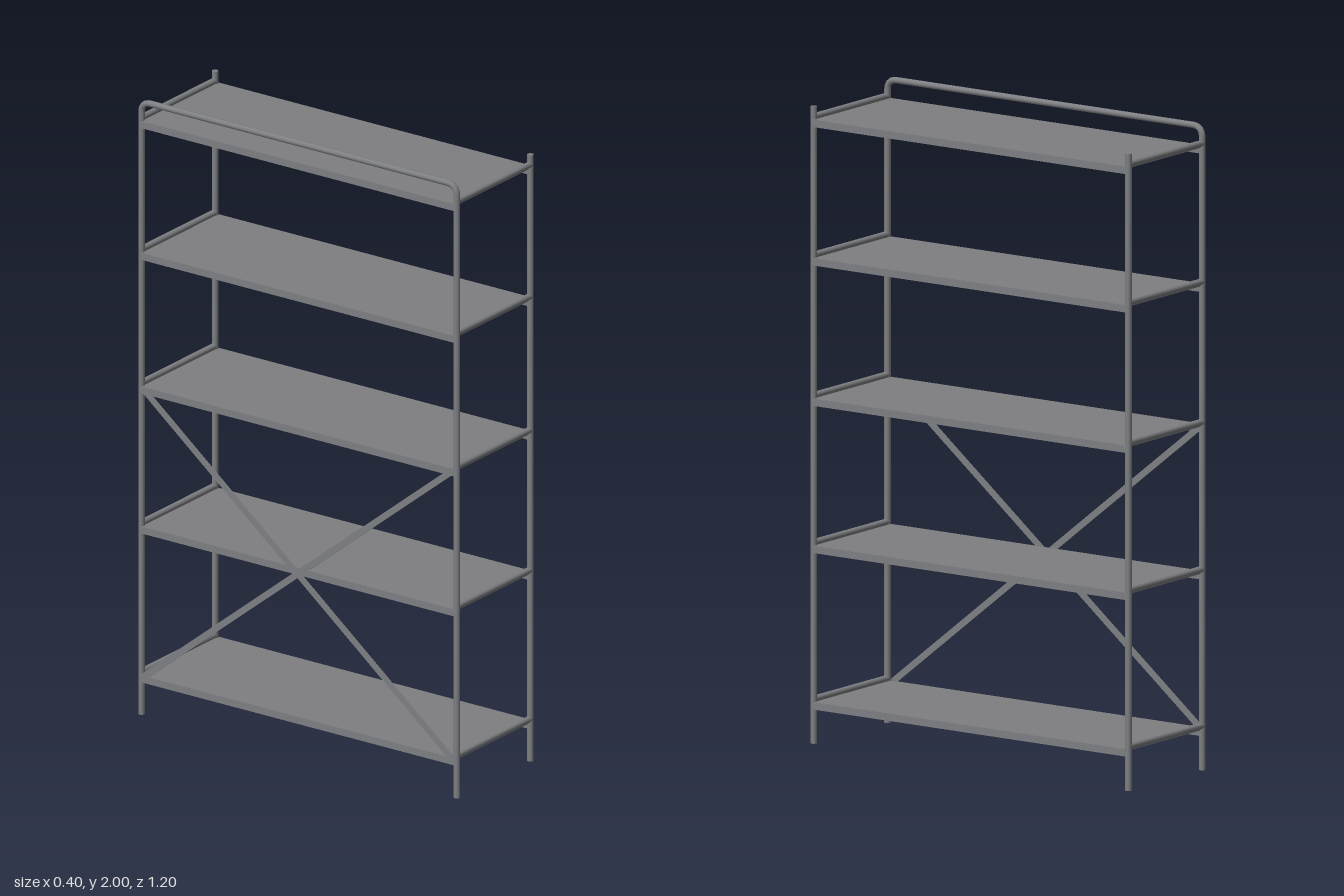
import * as THREE from 'three';

const X = 0.189, Z = 0.59, R = 0.01; // post centres and tube radius
const V = (x, y, z) => new THREE.Vector3(x, y, z);

export function createModel() {
  const group = new THREE.Group();
  const steel = new THREE.MeshStandardMaterial({ color: 0x7e7f82 });
  steel.name = 'grey steel';

  const add = (name, geometry, x = 0, y = 0, z = 0) => {
    const mesh = new THREE.Mesh(geometry, steel);
    mesh.name = name;
    mesh.position.set(x, y, z);
    group.add(mesh);
    return mesh;
  };

  // Rear posts and top guard rail, one bent tube with rounded corners
  const top = 2 - R, bend = 0.035;
  const path = new THREE.CurvePath();
  path.add(new THREE.LineCurve3(V(0, 0, Z), V(0, top - bend, Z)));
  path.add(new THREE.QuadraticBezierCurve3(V(0, top - bend, Z), V(0, top, Z), V(0, top, Z - bend)));
  path.add(new THREE.LineCurve3(V(0, top, Z - bend), V(0, top, bend - Z)));
  path.add(new THREE.QuadraticBezierCurve3(V(0, top, bend - Z), V(0, top, -Z), V(0, top - bend, -Z)));
  path.add(new THREE.LineCurve3(V(0, top - bend, -Z), V(0, 0, -Z)));
  add('rearFrame', new THREE.TubeGeometry(path, 500, R, 12), -X);

  for (const s of [-1, 1]) {
    // Front posts, and caps for the feet of the rear tube
    add('frontPost', new THREE.CylinderGeometry(R, R, 1.97, 16), X, 0.985, s * Z);
    add('rearFoot', new THREE.CylinderGeometry(R, R, 0.01, 16), -X, 0.005, s * Z);

    // Flat diagonal braces on the back
    const rise = 0.93, run = 1.15;
    const brace = add('crossBrace', new THREE.BoxGeometry(0.004, 0.02, Math.hypot(rise, run)),
      -0.1975 + s * 0.001, 0.592, 0);
    brace.rotation.x = s * Math.atan2(rise, run);
  }

  // Shelves: panel, long rails below it and end rails above it
  for (const y of [0.137, 0.621, 1.076, 1.51, 1.938]) {
    add('shelfPanel', new THREE.BoxGeometry(2 * X + 0.018, 0.006, 2 * Z), 0, y - 0.011, 0);
    for (const s of [-1, 1]) {
      add('longRail', new THREE.BoxGeometry(0.019, 0.023, 2 * Z), s * X, y - 0.0195, 0);
      const end = add('endRail', new THREE.CylinderGeometry(R, R, 2 * X, 12), 0, y, s * Z);
      end.rotation.z = Math.PI / 2;
    }
  }
  return group;
}
